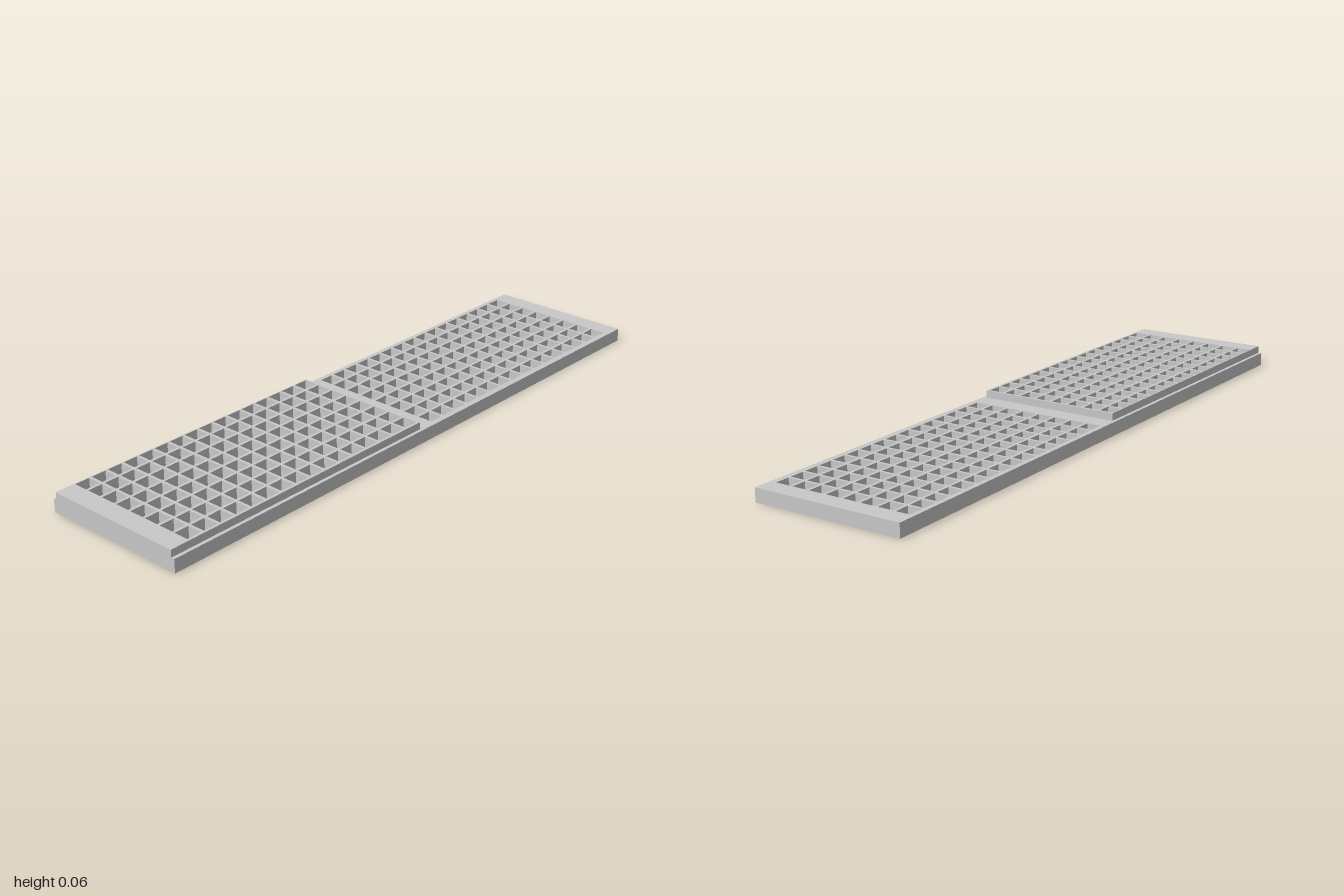
import * as THREE from 'three';

const PITCH = 0.057, HOLE = 0.048, COLS = 16, ROWS = 8;
const FIRST_Z = -0.2275; // back edge of the first row of holes

// Counter-clockwise rectangle on the ground plane (shape y is -z)
function rect(path, x0, x1, z0, z1) {
  path.moveTo(x0, -z1);
  path.lineTo(x1, -z1);
  path.lineTo(x1, -z0);
  path.lineTo(x0, -z0);
  path.closePath();
  return path;
}

// Adds one field of square openings starting at x
function addGrid(shape, startX) {
  for (let c = 0; c < COLS; c++) {
    for (let r = 0; r < ROWS; r++) {
      const x = startX + c * PITCH;
      const z = FIRST_Z + r * PITCH;
      // keep a thin rim along the back row
      const z0 = r === 0 ? z + 0.003 : z;
      shape.holes.push(rect(new THREE.Path(), x, x + HOLE, z0, z + HOLE));
    }
  }
}

// Perforated slab between two heights
function slab(name, x0, x1, halfZ, y0, y1, gridStarts, material) {
  const shape = rect(new THREE.Shape(), x0, x1, -halfZ, halfZ);
  gridStarts.forEach((x) => addGrid(shape, x));
  const geometry = new THREE.ExtrudeGeometry(shape, { depth: y1 - y0, bevelEnabled: false });
  geometry.rotateX(-Math.PI / 2);
  geometry.translate(0, y0, 0);
  const mesh = new THREE.Mesh(geometry, material);
  mesh.name = name;
  return mesh;
}

export function createModel() {
  const grey = new THREE.MeshStandardMaterial({ color: 0xc8c8c8 });
  grey.name = 'grey';

  const model = new THREE.Group();
  model.name = 'gratingPanel';

  // Full-length base with two fields of openings
  model.add(slab('baseGrating', -1, 1, 0.239, 0, 0.042, [-0.936, 0.037], grey));
  // Thinner raised grating covering the right half
  model.add(slab('raisedGrating', -1, -0.025, 0.228, 0.042, 0.065, [-0.936], grey));

  return model;
}
